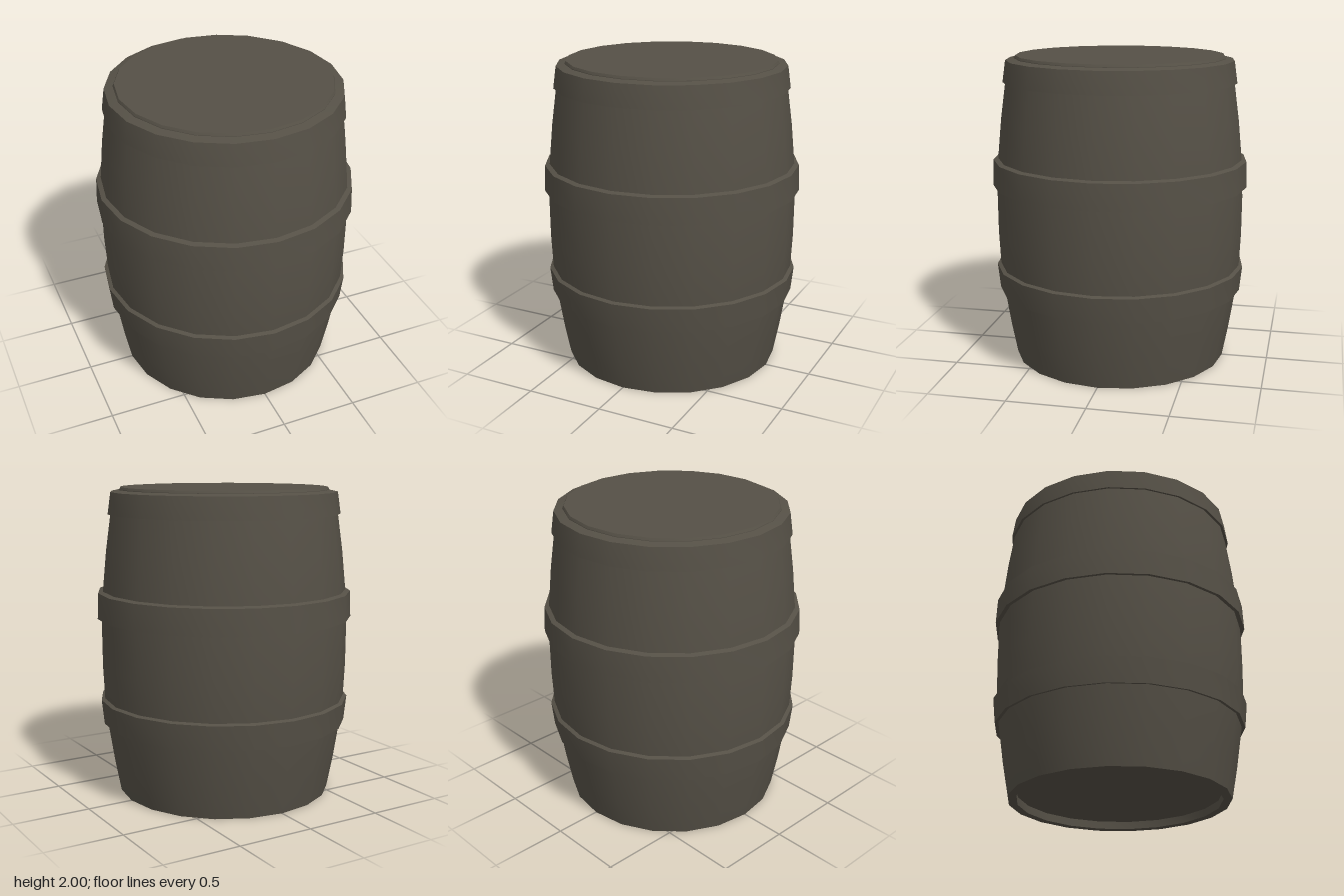
import * as THREE from 'three';
import { toCreasedNormals } from 'three/addons/utils/BufferGeometryUtils.js';

const SIDES = 20;

export function createModel() {
  const barrel = new THREE.Group();
  barrel.name = 'barrel';

  const wood = new THREE.MeshStandardMaterial({ color: 0x555046 });
  wood.name = 'weathered wood';

  // Revolves a bottom-to-top profile of [radius, height] pairs, keeping hard edges crisp
  function turned(name, profile) {
    const points = profile.map(([r, y]) => new THREE.Vector2(r, y));
    const geometry = toCreasedNormals(new THREE.LatheGeometry(points, SIDES), 0.45);
    const mesh = new THREE.Mesh(geometry, wood);
    mesh.name = name;
    barrel.add(mesh);
  }

  // Recessed base, bottom rim and bulging staves
  turned('staves', [
    [0, 0.05], [0.645, 0.05], [0.645, 0], [0.7, 0],
    [0.738, 0.2], [0.78, 0.47], [0.796, 0.63], [0.806, 0.85], [0.807, 1.1],
    [0.796, 1.34], [0.77, 1.6], [0.738, 1.83], [0.715, 1.965],
  ]);

  // Three hoops: bottom height and radius, top height and radius, radius of the staves above
  const hoops = [
    ['lowerHoop', 0.465, 0.803, 0.625, 0.82, 0.79],
    ['middleHoop', 1.163, 0.833, 1.33, 0.826, 0.79],
    ['topHoop', 1.83, 0.755, 1.97, 0.735, 0.68],
  ];
  for (const [name, y0, r0, y1, r1, inner] of hoops) {
    turned(name, [
      [r0 - 0.04, y0 + 0.008], [r0, y0], [r1, y1], [inner, y1 + 0.012],
    ]);
  }

  // Raised lid
  turned('lid', [[0.68, 1.96], [0.68, 1.985], [0.672, 2], [0, 2]]);

  return barrel;
}
